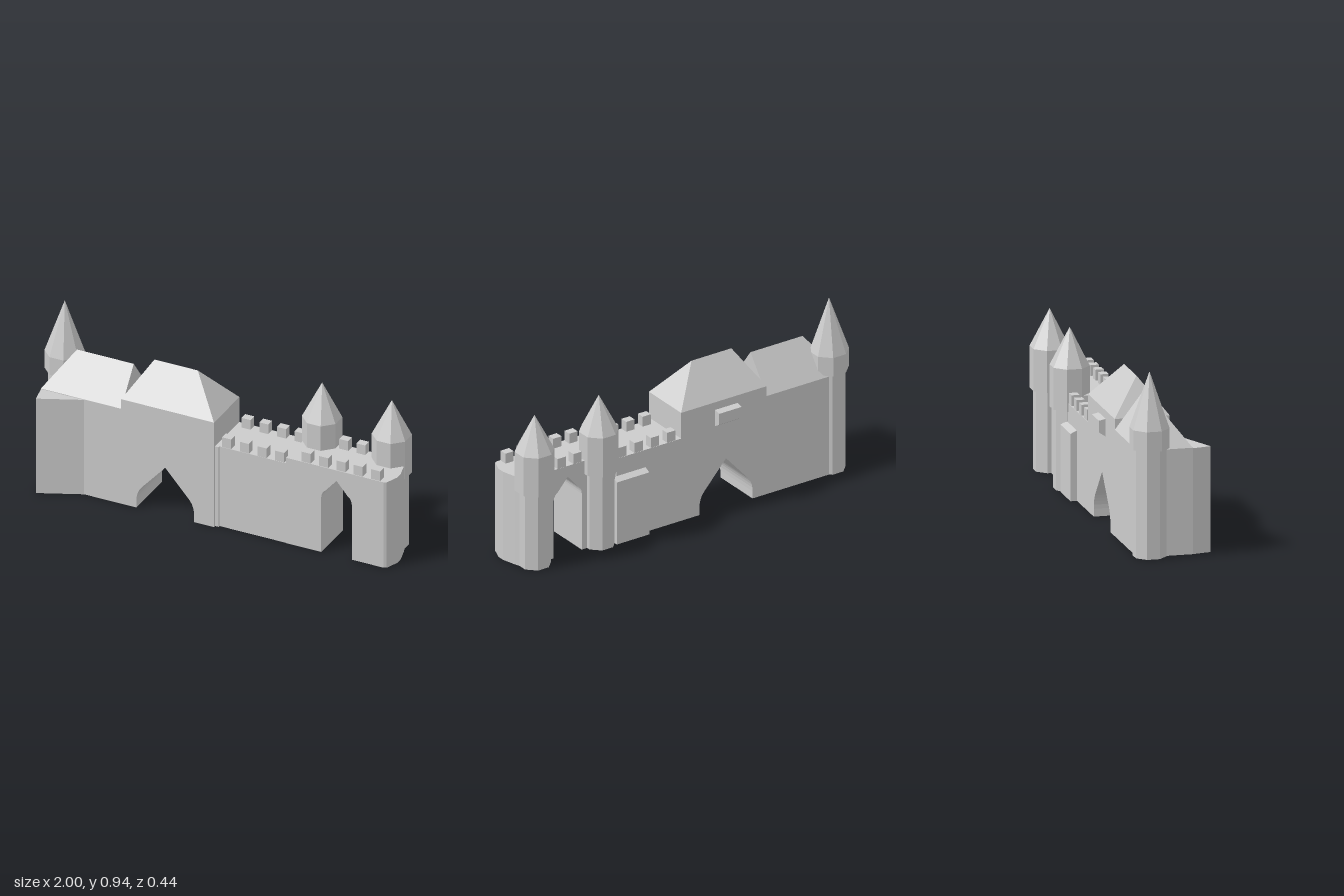
import * as THREE from 'three';

const mat = new THREE.MeshStandardMaterial({ color: 0xcccccc, flatShading: true, side: THREE.DoubleSide });

function add(parent, name, geometry, x = 0, y = 0, z = 0) {
  const mesh = new THREE.Mesh(geometry, mat);
  mesh.name = name;
  mesh.position.set(x, y, z);
  parent.add(mesh);
  return mesh;
}

// Box given by its limits on each axis
function block(parent, name, x0, x1, y0, y1, z0, z1) {
  return add(parent, name, new THREE.BoxGeometry(x1 - x0, y1 - y0, z1 - z0),
    (x0 + x1) / 2, (y0 + y1) / 2, (z0 + z1) / 2);
}

const polygon = (pts) => new THREE.Shape(pts.map(([x, y]) => new THREE.Vector2(x, y)));

// Elevation outline pushed along z
function wall(parent, name, pts, z0, z1) {
  const geo = new THREE.ExtrudeGeometry(polygon(pts), { depth: z1 - z0, bevelEnabled: false });
  return add(parent, name, geo, 0, 0, z0);
}

// Ground plan of [x, z] points raised to a height
function plan(parent, name, pts, height) {
  const geo = new THREE.ExtrudeGeometry(polygon(pts.map(([x, z]) => [x, -z])), { depth: height, bevelEnabled: false });
  return add(parent, name, geo.rotateX(-Math.PI / 2));
}

// Cross-section of [z, y] points pushed along x
function lean(parent, name, pts, x0, x1) {
  const geo = new THREE.ExtrudeGeometry(polygon(pts.map(([z, y]) => [-z, y])), { depth: x1 - x0, bevelEnabled: false });
  return add(parent, name, geo.rotateY(Math.PI / 2), x0);
}

// Pointed gateway outline, left foot to right foot
function arch(cx, half, spring, shoulderX, shoulderY, top) {
  const curve = new THREE.QuadraticBezierCurve(
    new THREE.Vector2(half, spring), new THREE.Vector2(half, (spring + shoulderY) / 2 + 0.01),
    new THREE.Vector2(shoulderX, shoulderY));
  const side = [[half, 0], ...curve.getPoints(5).map((p) => [p.x, p.y])];
  return [...side.map(([x, y]) => [cx - x, y]), [cx, top],
    ...side.reverse().map(([x, y]) => [cx + x, y])];
}

// Roof with a ridge along x; the ends are hipped or upright
function hipRoof(parent, name, x0, x1, r0, r1, eave, ridge, z0, z1, rz) {
  const v = [x0, eave, z0, x0, eave, z1, x1, eave, z1, x1, eave, z0, r0, ridge, rz, r1, ridge, rz];
  const geo = new THREE.BufferGeometry();
  geo.setAttribute('position', new THREE.Float32BufferAttribute(v, 3));
  geo.setIndex([1, 2, 5, 1, 5, 4, 3, 0, 4, 3, 4, 5, 0, 1, 4, 2, 3, 5, 0, 2, 1, 0, 3, 2]);
  const flat = geo.toNonIndexed();
  flat.computeVertexNormals();
  return add(parent, name, flat);
}

// Octagonal tower: shaft, wider drum and spire
function tower(parent, name, x, z, drumY, eaveY, topY) {
  const g = new THREE.Group();
  g.name = name;
  g.position.set(x, 0, z);
  const toCorner = 1 / Math.cos(Math.PI / 8);
  const prism = (part, top, bottom, y0, y1) => add(g, part,
    new THREE.CylinderGeometry(top * toCorner, bottom * toCorner, y1 - y0, 8, 1, false, Math.PI / 8),
    0, (y0 + y1) / 2, 0);
  prism('shaft', 0.078, 0.078, 0, drumY);
  prism('drum', 0.093, 0.093, drumY, eaveY);
  prism('spire', 0, 0.093, eaveY, topY);
  parent.add(g);
}

export function createModel() {
  const castle = new THREE.Group();
  castle.name = 'castle';

  // Main buildings with the large gateway
  wall(castle, 'mainBuilding', [[-0.93, 0], ...arch(-0.24, 0.16, 0.04, 0.125, 0.13, 0.27),
    [0.03, 0], [0.03, 0.6], [-0.485, 0.6], [-0.485, 0.545], [-0.93, 0.545]], -0.16, 0.122);
  plan(castle, 'cornerButtress', [[-0.93, 0.1], [-0.93, 0.12], [-0.91, 0.218], [-0.69, 0.122], [-0.69, 0.1]], 0.542);
  hipRoof(castle, 'westRoof', -0.93, -0.485, -0.8, -0.485, 0.545, 0.73, -0.16, 0.122, -0.018);
  hipRoof(castle, 'mainRoof', -0.485, 0.03, -0.37, -0.13, 0.6, 0.785, -0.16, 0.122, -0.018);
  lean(castle, 'backBay', [[-0.15, 0.56], [-0.195, 0.55], [-0.195, 0.49], [-0.15, 0.46]], -0.31, -0.175);

  // Lower curtain wall
  block(castle, 'curtainWall', 0.03, 0.42, 0, 0.457, -0.16, 0.1);
  block(castle, 'pilaster', 0.03, 0.05, 0, 0.457, 0.09, 0.11);
  lean(castle, 'backButtress', [[-0.15, 0], [-0.15, 0.365], [-0.193, 0.345], [-0.193, 0]], 0.245, 0.44);

  // Gate wall and its angled end
  wall(castle, 'gateWall', [[0.42, 0], ...arch(0.7, 0.085, 0.31, 0.06, 0.36, 0.43),
    [0.93, 0], [0.93, 0.49], [0.42, 0.49]], -0.14, 0.102);
  plan(castle, 'gateWallEnd', [[0.93, 0.102], [0.96, 0.102], [0.975, 0.095], [1.0, 0.03], [1.0, -0.01],
    [0.98, -0.085], [0.96, -0.14], [0.93, -0.14]], 0.49);

  // Merlons along both wall tops
  const merlons = new THREE.Group();
  merlons.name = 'battlements';
  castle.add(merlons);
  const row = (xs, y, z) => xs.forEach((x) =>
    block(merlons, 'merlon', x - 0.025, x + 0.025, y - 0.01, y + 0.055, z - 0.021, z + 0.021));
  const low = [0.088, 0.187, 0.285, 0.383];
  row(low, 0.457, 0.077);
  row(low, 0.457, -0.137);
  row([0.53, 0.627, 0.722, 0.818, 0.915], 0.49, 0.077);
  row([0.64, 0.735], 0.49, -0.118);

  // Towers
  tower(castle, 'westTower', -0.906, -0.094, 0.555, 0.657, 0.945);
  tower(castle, 'innerGateTower', 0.505, -0.128, 0.415, 0.63, 0.825);
  tower(castle, 'outerGateTower', 0.892, -0.128, 0.415, 0.63, 0.825);

  return castle;
}
